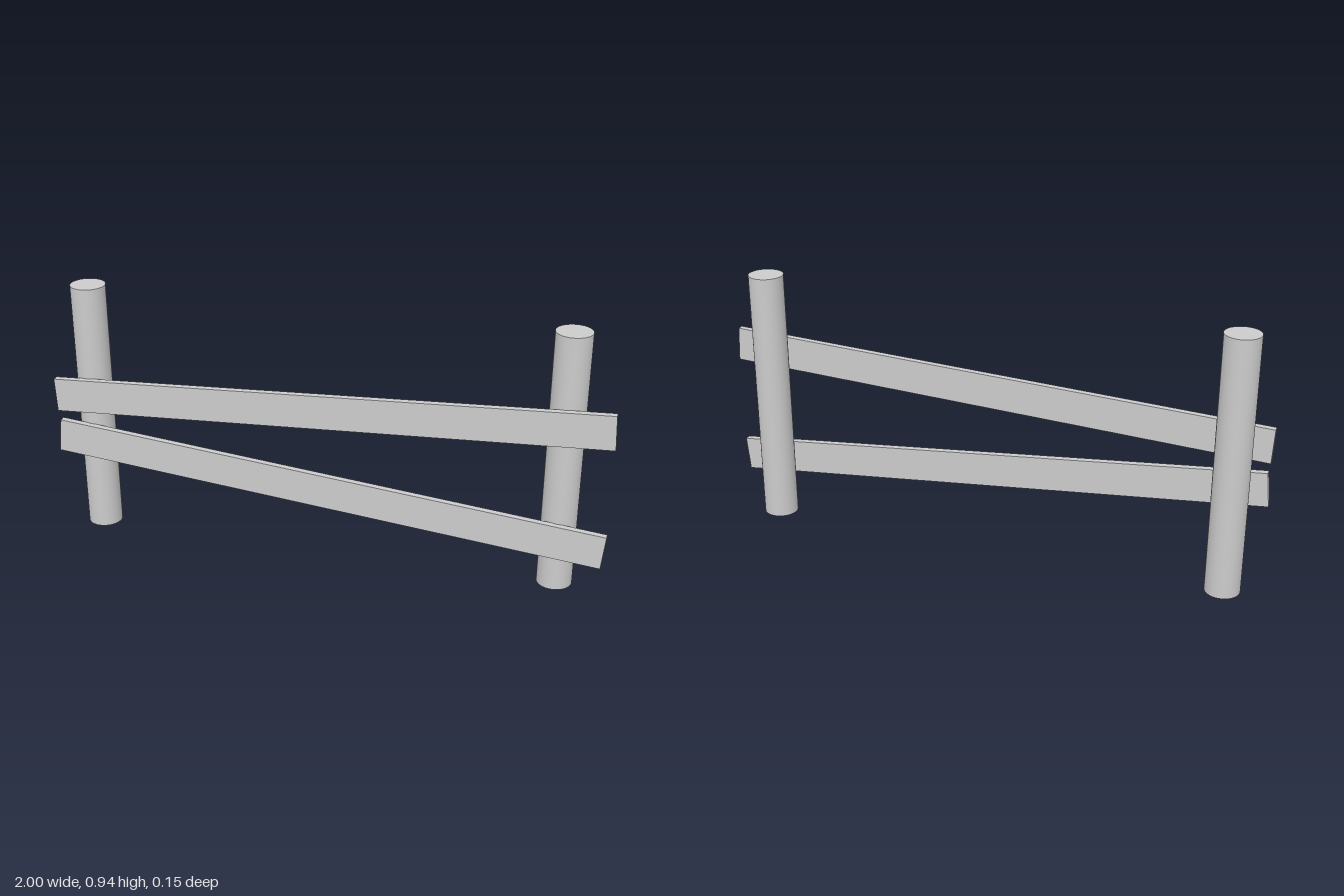
import * as THREE from 'three';

export function createModel() {
  const group = new THREE.Group();
  const material = new THREE.MeshStandardMaterial({ color: 0xcccccc });

  // Two round upright posts
  const postHeight = 0.942;
  const postGeometry = new THREE.CylinderGeometry(0.0625, 0.0625, postHeight, 48);
  for (const [name, x] of [['rightPost', -0.877], ['leftPost', 0.829]]) {
    const post = new THREE.Mesh(postGeometry, material);
    post.name = name;
    post.position.set(x, postHeight / 2, -0.01);
    group.add(post);
  }

  // Two crooked planks fixed across the front of the posts
  const railGeometry = new THREE.BoxGeometry(1.996, 0.124, 0.024);
  for (const [name, y, tilt] of [['upperRail', 0.585, 0.049], ['lowerRail', 0.279, -0.097]]) {
    const rail = new THREE.Mesh(railGeometry, material);
    rail.name = name;
    rail.position.set(0, y, 0.062);
    rail.rotation.z = tilt;
    group.add(rail);
  }

  return group;
}
